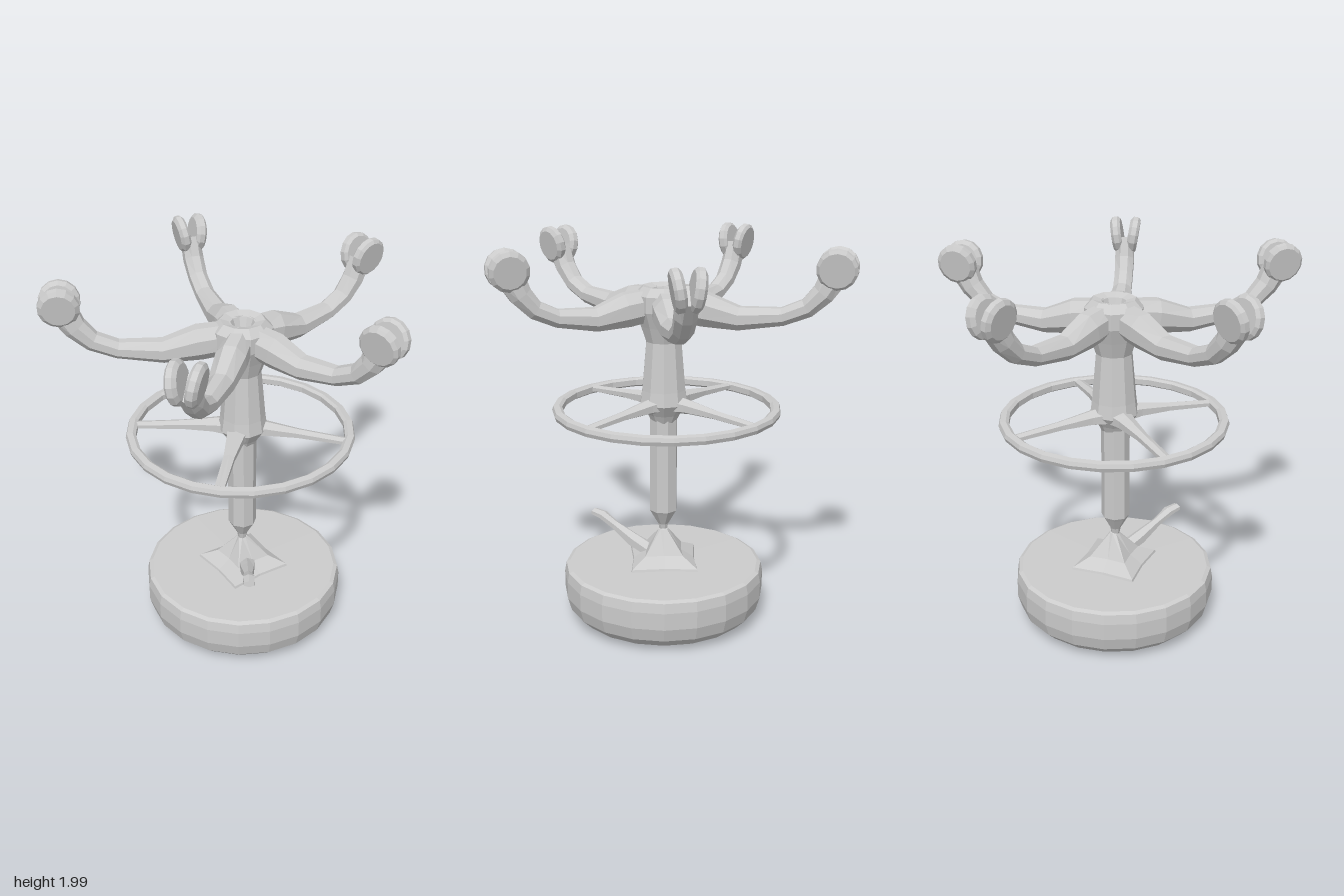
import * as THREE from 'three';

const mat = new THREE.MeshStandardMaterial({ color: 0xcccccc, flatShading: true });

function part(name, geometry, parent) {
  const m = new THREE.Mesh(geometry, mat);
  m.name = name;
  parent.add(m);
  return m;
}

function lathe(points, sides) {
  return new THREE.LatheGeometry(points.map(p => new THREE.Vector2(p[0], p[1])), sides);
}

// Loft along a path in the local XY plane; sections are [x, y, halfWidth, halfHeight]
function loft(sections, sides = 8) {
  const pos = [], idx = [], n = sections.length;
  sections.forEach(([x, y, hw, hh], i) => {
    const a = sections[Math.max(0, i - 1)], b = sections[Math.min(n - 1, i + 1)];
    const len = Math.hypot(b[0] - a[0], b[1] - a[1]);
    const tx = (b[0] - a[0]) / len, ty = (b[1] - a[1]) / len;
    for (let j = 0; j < sides; j++) {
      const t = ((j + 0.5) / sides) * Math.PI * 2;
      const v = hh * Math.sin(t);
      pos.push(x - ty * v, y + tx * v, hw * Math.cos(t));
    }
  });
  for (let i = 0; i < n - 1; i++) {
    for (let j = 0; j < sides; j++) {
      const k = (j + 1) % sides, p = i * sides, q = p + sides;
      idx.push(p + j, q + j, q + k, p + j, q + k, p + k);
    }
  }
  const last = (n - 1) * sides;
  for (let j = 1; j < sides - 1; j++) {
    idx.push(0, j, j + 1, last, last + j + 1, last + j);
  }
  const g = new THREE.BufferGeometry();
  g.setAttribute('position', new THREE.Float32BufferAttribute(pos, 3));
  g.setIndex(idx);
  g.computeVertexNormals();
  return g;
}

export function createModel() {
  const model = new THREE.Group();
  model.name = 'upturnedStool';
  const zc = -0.025;

  // Padded round seat, resting upside down
  part('seat', lathe([[0, 0.005], [0.38, 0.01], [0.46, 0.03], [0.51, 0.08], [0.53, 0.15],
    [0.53, 0.24], [0.52, 0.29], [0.5, 0.3], [0, 0.305]], 20), model).position.z = zc;

  // Star-shaped mounting plate rising to a point under the column
  const plate = lathe([[0.25, 0.295], [0.24, 0.315], [0.14, 0.36], [0.025, 0.48], [0.0, 0.49]], 8);
  const p = plate.attributes.position;
  for (let i = 0; i < p.count; i++) {
    const corner = Math.round(Math.atan2(p.getZ(i), p.getX(i)) / (Math.PI / 4));
    const s = corner % 2 && p.getY(i) < 0.4 ? 0.66 : 1;
    p.setX(i, p.getX(i) * s);
    p.setZ(i, p.getZ(i) * s);
  }
  const mount = part('mountingPlate', plate, model);
  mount.position.z = zc;
  mount.rotation.y = 0.5;

  // Height lever with a flattened paddle
  const lever = part('heightLever', loft([[0.04, 0.34, 0.05, 0.035], [0.16, 0.38, 0.04, 0.04],
    [0.28, 0.44, 0.025, 0.025], [0.36, 0.485, 0.035, 0.022], [0.42, 0.495, 0.03, 0.018]], 6), model);
  lever.rotation.y = -2.44;

  // Gas lift with a tapered end
  part('column', lathe([[0, 0.46], [0.02, 0.47], [0.028, 0.51], [0.065, 0.575], [0.074, 0.59],
    [0.074, 1.12]], 8), model).position.set(-0.006, 0, zc);

  // Sleeve and central hub of the leg star
  part('hub', lathe([[0.065, 1.08], [0.085, 1.12], [0.125, 1.18], [0.115, 1.25], [0.107, 1.34],
    [0.093, 1.5], [0.12, 1.58], [0.15, 1.66], [0.15, 1.74], [0.11, 1.78], [0.06, 1.765],
    [0.04, 1.71], [0, 1.71]], 10), model).position.z = zc;

  // Foot ring and its four spokes
  const footRest = new THREE.Group();
  footRest.name = 'footRest';
  footRest.position.z = -0.04;
  model.add(footRest);
  part('footRing', lathe([[0.535, 1.13], [0.55, 1.12], [0.58, 1.125], [0.587, 1.145], [0.58, 1.165],
    [0.55, 1.17], [0.535, 1.16], [0.535, 1.13]], 24), footRest);
  for (const deg of [63, 152, 237, 327]) {
    const spoke = part('footRingSpoke', loft([[0.05, 1.175, 0.07, 0.05], [0.14, 1.175, 0.05, 0.037],
      [0.3, 1.165, 0.032, 0.024], [0.55, 1.147, 0.028, 0.017]], 6), footRest);
    spoke.rotation.y = -THREE.MathUtils.degToRad(deg);
  }

  // Five curved legs, each ending in a twin-wheel caster; entries are caster x, z
  const feet = [[0.79, 0.13], [0.45, -0.75], [-0.6, -0.65], [-0.8, 0.32], [0.02, 0.76]];
  const profile = [[0.05, 1.69, 0.07, 0.085], [0.2, 1.67, 0.08, 0.09], [0.36, 1.633, 0.065, 0.062],
    [0.56, 1.652, 0.053, 0.047], [0.67, 1.7, 0.052, 0.05], [0.74, 1.775, 0.055, 0.06],
    [0.79, 1.87, 0.05, 0.075]];
  for (const [x, z] of feet) {
    const leg = new THREE.Group();
    leg.name = 'leg';
    leg.position.z = -0.02;
    leg.rotation.y = -Math.atan2(z + 0.02, x);
    model.add(leg);
    const reach = Math.hypot(x, z + 0.02);
    part('legArm', loft(profile.map(([r, y, w, h]) => [r * reach / 0.8, y, w, h])), leg);

    // Wheels lean apart toward the top
    for (const side of [-1, 1]) {
      const wheel = part('casterWheel', lathe([[0, -0.027], [0.08, -0.027], [0.1, -0.012],
        [0.1, 0.014], [0.085, 0.027], [0, 0.027]], 14), leg);
      wheel.position.set(reach, 1.896, side * 0.043);
      wheel.rotation.x = Math.PI / 2 + side * 0.16;
    }
  }
  return model;
}
